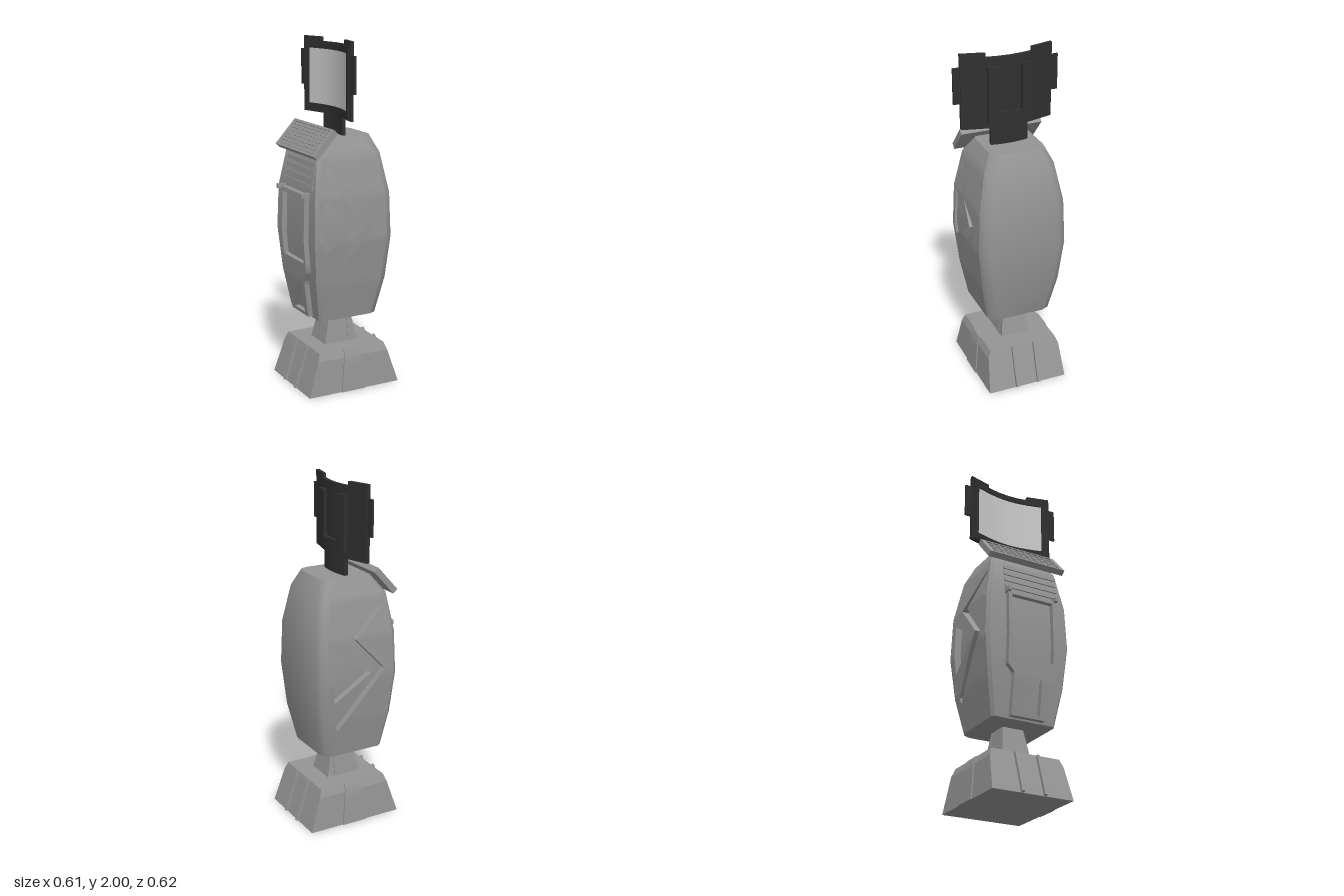
import * as THREE from 'three';
import { toCreasedNormals } from 'three/addons/utils/BufferGeometryUtils.js';

const grey = new THREE.MeshStandardMaterial({ color: 0x959595 });
const pale = new THREE.MeshStandardMaterial({ color: 0xc8c8c8 });
const dark = new THREE.MeshStandardMaterial({ color: 0x303030 });

// Body outline by height: [y, left x, right x, half depth]
const LEVELS = [
  [0.43, -0.2, 0.18, 0.195], [0.65, -0.235, 0.225, 0.235], [0.9, -0.255, 0.245, 0.262],
  [1.15, -0.248, 0.238, 0.252], [1.37, -0.215, 0.2, 0.208], [1.47, -0.14, 0.155, 0.16],
];
const FRONT_INSET = 0.025, BACK_INSET = 0.04;

// Linear lookup of column k in a table sorted by its first column
function lookup(table, y, k) {
  let i = 0;
  while (i < table.length - 2 && y > table[i + 1][0]) i++;
  const a = table[i], b = table[i + 1];
  return THREE.MathUtils.lerp(a[k], b[k], THREE.MathUtils.clamp((y - a[0]) / (b[0] - a[0]), 0, 1));
}
const bodyLeft = y => lookup(LEVELS, y, 1);
const bodyDepth = y => lookup(LEVELS, y, 3);

function add(parent, name, geometry, material = grey) {
  const mesh = new THREE.Mesh(geometry, material);
  mesh.name = name;
  parent.add(mesh);
  return mesh;
}
function box(parent, name, size, pos) {
  const mesh = add(parent, name, new THREE.BoxGeometry(...size));
  mesh.position.set(...pos);
  return mesh;
}
function fromPositions(pos, crease) {
  const g = new THREE.BufferGeometry();
  g.setAttribute('position', new THREE.Float32BufferAttribute(pos, 3));
  return toCreasedNormals(g, crease);
}

// Skin stacked rings [y, [[x, z], ...]] (counter-clockwise from above) and cap both ends
function loft(rings, crease) {
  const pos = [];
  const n = rings[0][1].length;
  const p = (r, i) => [rings[r][1][i % n][0], rings[r][0], rings[r][1][i % n][1]];
  const last = rings.length - 1;
  for (let i = 0; i < n; i++) {
    for (let r = 0; r < last; r++) {
      const a = p(r, i), b = p(r, i + 1), c = p(r + 1, i + 1), d = p(r + 1, i);
      pos.push(...a, ...b, ...c, ...a, ...c, ...d);
    }
    pos.push(0, rings[0][0], 0, ...p(0, i + 1), ...p(0, i));
    pos.push(0, rings[last][0], 0, ...p(last, i), ...p(last, i + 1));
  }
  return fromPositions(pos, crease);
}
const rect = (x, z, cx = 0) => [[cx + x, z], [cx + x, -z], [cx - x, -z], [cx - x, z]];

// Extrude an outline with holes, subdivide it, and bend it onto a surface
function plate(outline, holes, depth, map, steps = 3) {
  const vec = pts => pts.map(q => new THREE.Vector2(...q));
  const shape = new THREE.Shape(vec(outline));
  holes.forEach(h => shape.holes.push(new THREE.Path(vec(h))));
  const flat = new THREE.ExtrudeGeometry(shape, { depth, bevelEnabled: false });
  const at = flat.attributes.position;
  let v = [];
  for (let i = 0; i < at.count; i++) v.push(new THREE.Vector3().fromBufferAttribute(at, i));
  for (let s = 0; s < steps; s++) {
    const next = [];
    for (let i = 0; i < v.length; i += 3) {
      const [a, b, c] = [v[i], v[i + 1], v[i + 2]];
      const mid = (m, n) => m.clone().add(n).multiplyScalar(0.5);
      const ab = mid(a, b), bc = mid(b, c), ca = mid(c, a);
      next.push(a, ab, ca, ab, b, bc, ca, bc, c, ab, bc, ca);
    }
    v = next;
  }
  return fromPositions(v.flatMap(q => map(q.x, q.y, q.z)), 0.7);
}
const block = (u0, u1, v0, v1) => [[u0, v0], [u1, v0], [u1, v1], [u0, v1]];

function buildPedestal(root) {
  const base = [[0, 0.29, 0.243], [0.2, 0.226, 0.225], [0.245, 0.21, 0.207]];
  add(root, 'base', loft(base.map(([y, x, z]) => [y, rect(x, z)]), 0.2));
  add(root, 'neck', loft([[0.24, rect(0.108, 0.09, -0.007)], [0.44, rect(0.063, 0.063, -0.007)]], 0.2));
  const panel = [[-0.085, 0], [0.065, 0], [0.052, 0.244], [-0.055, 0.244]];
  for (const s of [1, -1]) {
    add(root, 'basePanel', plate(panel, [], 0.007,
      (u, v, w) => [s * u, v, s * (lookup(base, v, 2) + w)]));
    for (const z of [-0.068, 0.068]) {
      const rib = box(root, 'baseRib', [0.028, 0.25, 0.016], [s * 0.254, 0.122, z]);
      rib.rotation.z = s * 0.316;
    }
    const strip = box(root, 'neckStrip', [0.014, 0.18, 0.012], [0.045, 0.335, s * 0.075]);
    strip.rotation.x = -s * 0.14;
  }
}

function buildBody(root) {
  // Core with pockets front and back that receive the cut-out plates
  const rings = LEVELS.map(([y, l, r, f]) => {
    const a = l + 0.02, b = r - 0.055;
    const half = d => [[r, f - 0.055], [r - 0.02, f - 0.014], [b, f], [b, f - d],
      [a, f - d], [a, f], [l, f - 0.015]];
    return [y, [...half(BACK_INSET).map(([x, z]) => [x, -z]), ...half(FRONT_INSET).reverse()]];
  });
  add(root, 'bodyCore', loft(rings, 0.8));

  // Front and back plates with a triangle and a zigzag cut out
  const triangle = [[-0.2, 1.143], [0.026, 0.99], [-0.2, 0.841]];
  const zigzag = [[-0.17, 1.328], [0.122, 0.979], [-0.063, 0.783], [0.132, 0.614],
    [0.106, 0.614], [-0.127, 0.772], [0.053, 0.968], [-0.18, 1.286]];
  const cuts = [triangle, zigzag];
  const outline = [...LEVELS.map(l => [l[1] + 0.02, l[0]]),
    ...LEVELS.map(l => [l[2] - 0.055, l[0]]).reverse()];
  const flip = pts => pts.map(([x, y]) => [x + 0.055, 1.92 - y]);
  add(root, 'frontPlate', plate(outline, cuts, FRONT_INSET,
    (u, v, w) => [u, v, bodyDepth(v) - FRONT_INSET + w], 4));
  add(root, 'backPlate', plate(outline.map(([x, y]) => [-x, y]), cuts.map(flip), BACK_INSET,
    (u, v, w) => [-u, v, BACK_INSET - bodyDepth(v) - w], 4));

  // Side frame with a window and an open leg, plus tabs and vent slats
  const frame = [[-0.14, 1.165], [-0.14, 0.72], [-0.1, 0.68], [-0.1, 0.44], [0.11, 0.44],
    [0.13, 0.66], [0.165, 0.72], [0.165, 1.165]];
  const windowHole = block(-0.118, 0.143, 0.77, 1.14);
  const legHole = [[-0.06, 0.46], [0.075, 0.46], [0.075, 0.67]];
  add(root, 'sideFrame', plate(frame, [windowHole, legHole], 0.032,
    (u, v, w) => [bodyLeft(v) + 0.002 - w, v, u]));
  for (const z of [-0.14, 0.16]) box(root, 'frameTab', [0.05, 0.025, 0.02], [-0.275, 1.165, z]);
  for (let i = 0; i < 4; i++) {
    const y = 1.205 + i * 0.042;
    const slat = box(root, 'ventSlat', [0.024, 0.024, 0.34], [bodyLeft(y) + 0.005, y, 0.025]);
    slat.rotation.z = -0.15;
  }
}

function buildGrille(root) {
  const grille = new THREE.Group();
  grille.name = 'slopedGrille';
  grille.position.set(-0.188, 1.452, -0.002);
  grille.rotation.z = 0.84;
  root.add(grille);
  box(grille, 'grilleBack', [0.186, 0.022, 0.488], [0, -0.011, 0]);
  for (const s of [1, -1]) {
    box(grille, 'grilleLongRim', [0.014, 0.014, 0.488], [s * 0.086, 0.006, 0]);
    box(grille, 'grilleEndRim', [0.186, 0.014, 0.028], [0, 0.006, s * 0.23]);
  }
  for (let i = 0; i < 9; i++) box(grille, 'grilleRib', [0.17, 0.012, 0.008], [0, 0.005, (i - 4) * 0.0435]);
  for (let i = 0; i < 7; i++) box(grille, 'grilleSlat', [0.011, 0.008, 0.44], [(i - 3) * 0.0225, 0.003, 0]);
}

function buildScreen(root) {
  // Curve across the width: [distance from the middle, x]
  const curve = [[0, -0.004], [0.065, -0.008], [0.13, -0.02], [0.27, -0.056], [0.31, -0.056]];
  const bend = offset => (u, v, w) => [lookup(curve, Math.abs(u), 1) + 0.02 * -u + offset + w, v, -u];
  const half = [[0.27, 1.57], [0.27, 2], [0.135, 2], [0.135, 1.975]];
  const outline = [...half, ...half.map(([u, v]) => [-u, v]).reverse()];
  add(root, 'screenShell', plate(outline, [], 0.02, bend(0), 4), dark);
  for (const s of [1, -1]) {
    const [a, b] = [s * 0.25, s * 0.31].sort((m, n) => m - n);
    add(root, 'screenTab', plate(block(a, b, 1.72, 1.925), [], 0.012, bend(0.002)), dark);
  }
  add(root, 'screenRim', plate(block(-0.255, 0.255, 1.575, 1.97), [block(-0.22, 0.22, 1.62, 1.935)],
    0.012, bend(-0.011), 4), dark);
  add(root, 'screenPane', plate(block(-0.222, 0.222, 1.618, 1.937), [], 0.005, bend(-0.004), 4), pale);
  const bracket = [[-0.13, 1.925], [-0.13, 1.61], [0.13, 1.61], [0.13, 1.925],
    [0.065, 1.925], [0.065, 1.665], [-0.065, 1.665], [-0.065, 1.925]];
  add(root, 'rearBracket', plate(bracket, [], 0.024, bend(0.019)), dark);
  add(root, 'screenStem', plate(block(-0.11, 0.11, 1.46, 1.6), [], 0.022, bend(-0.001)), dark);
}

export function createModel() {
  const root = new THREE.Group();
  root.name = 'kiosk';
  buildPedestal(root);
  buildBody(root);
  buildGrille(root);
  buildScreen(root);
  return root;
}
